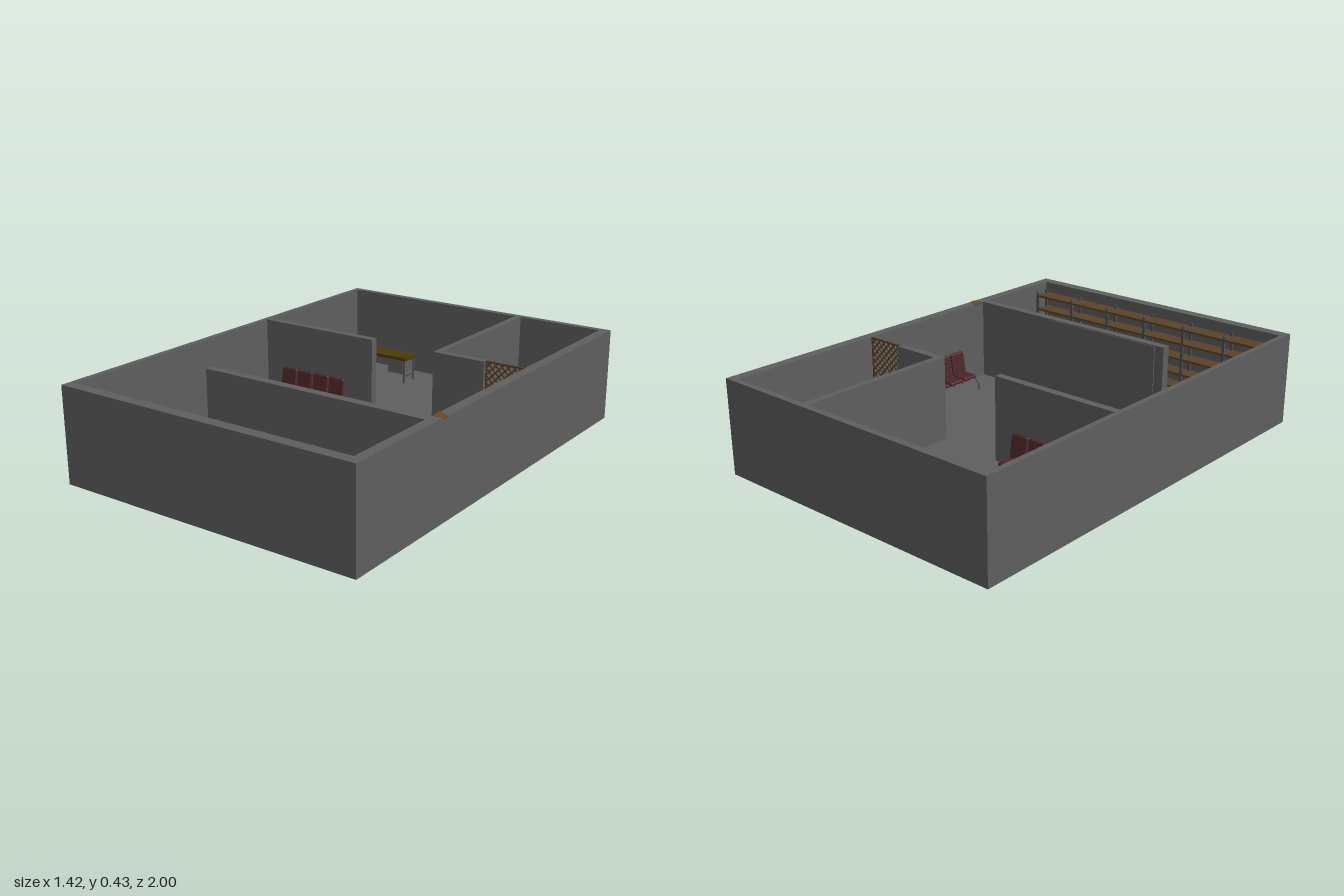
import * as THREE from 'three';
import { RoundedBoxGeometry } from 'three/addons/geometries/RoundedBoxGeometry.js';

const FLOOR = 0.05, TOP = 0.424;

const paint = (name, color) => {
  const m = new THREE.MeshStandardMaterial({ color });
  m.name = name;
  return m;
};

export function createModel() {
  const wallGrey = paint('wallGrey', 0x5e5e5e);
  const metal = paint('metal', 0x4c4f52);
  const seatRed = paint('seatRed', 0x4c2426);
  const deskOlive = paint('deskOlive', 0x4a3a0c);
  const shelfBrown = paint('shelfBrown', 0x5a4428);
  const gateBrown = paint('gateBrown', 0x5a4020);
  const doorOrange = paint('doorOrange', 0x6e4a20);

  const model = new THREE.Group();
  model.name = 'waitingRoom';

  const add = (parent, name, geometry, material, x = 0, y = 0, z = 0) => {
    const mesh = new THREE.Mesh(geometry, material);
    mesh.name = name;
    mesh.position.set(x, y, z);
    parent.add(mesh);
    return mesh;
  };
  // Box given by its two extreme corners
  const box = (parent, name, mat, x0, x1, y0, y1, z0, z1) =>
    add(parent, name, new THREE.BoxGeometry(x1 - x0, y1 - y0, z1 - z0), mat,
      (x0 + x1) / 2, (y0 + y1) / 2, (z0 + z1) / 2);
  const group = (name, x = 0, y = 0, z = 0, turn = 0) => {
    const g = new THREE.Group();
    g.name = name;
    g.position.set(x, y, z);
    g.rotation.y = turn;
    model.add(g);
    return g;
  };
  const rect = (C, x0, x1, z0, z1) => new C([[x0, z0], [x1, z0], [x1, z1], [x0, z1]]
    .map(([x, z]) => new THREE.Vector2(x, z)));
  // Plan outline with one opening, extruded downwards from the given height
  const slab = (name, opening, top, depth) => {
    const plan = rect(THREE.Shape, -0.712, 0.712, -1, 1);
    plan.holes.push(rect(THREE.Path, ...opening));
    const g = new THREE.ExtrudeGeometry(plan, { depth, bevelEnabled: false });
    g.rotateX(Math.PI / 2);
    add(model, name, g, wallGrey, 0, top, 0);
  };

  // Building shell
  slab('floor', [0.34, 0.59, -0.91, -0.655], FLOOR, FLOOR);
  slab('outerWalls', [-0.687, 0.667, -0.97, 0.95], TOP, TOP - FLOOR);
  const wall = (name, x0, x1, z0, z1) => box(model, name, wallGrey, x0, x1, FLOOR, TOP, z0, z1);
  wall('waitingPartition', -0.687, -0.085, -0.27, -0.235);
  wall('storePartition', -0.395, 0.667, 0.47, 0.51);
  wall('cellSideWall', 0.235, 0.265, -0.97, -0.235);
  wall('cellFrontWall', 0.265, 0.485, -0.27, -0.235);
  box(model, 'wallPanel', wallGrey, -0.35, 0.25, FLOOR, TOP - 0.004, 0.465, 0.47);

  // Small wedge of a door set in the right wall
  const wedge = new THREE.Shape([[0.666, 0.405], [0.7125, 0.43], [0.7125, 0.46], [0.666, 0.46]]
    .map(([x, z]) => new THREE.Vector2(x, z)));
  const wedgeGeo = new THREE.ExtrudeGeometry(wedge, { depth: 0.008, bevelEnabled: false });
  add(model, 'doorHead', wedgeGeo.rotateX(Math.PI / 2), doorOrange, 0, TOP + 0.001, 0);

  // Lattice gate of the small room
  const gate = group('latticeGate', 0.576, FLOOR, -0.254);
  const gateW = 0.18, gateH = TOP - FLOOR, cols = 6, rows = 12;
  for (const x of [-1, 1]) {
    box(gate, 'gatePost', gateBrown, x * 0.088 - 0.003, x * 0.088 + 0.003, 0, gateH, -0.004, 0.004);
  }
  for (const y of [0.003, gateH - 0.003]) {
    box(gate, 'gateRail', gateBrown, -0.09, 0.09, y - 0.003, y + 0.003, -0.004, 0.004);
  }
  const cw = gateW / cols, ch = gateH / rows;
  for (let i = 0; i < cols; i++) for (let j = 0; j < rows; j++) for (const s of [-1, 1]) {
    const slat = add(gate, 'gateSlat', new THREE.BoxGeometry(Math.hypot(cw, ch), 0.006, 0.003),
      gateBrown, -gateW / 2 + (i + 0.5) * cw, (j + 0.5) * ch, s * 0.0015);
    slat.rotation.z = s * Math.atan2(ch, cw);
  }

  // Row of four seats on a beam, facing local +z
  const seatGeo = new RoundedBoxGeometry(0.082, 0.016, 0.076, 3, 0.007);
  const backGeo = new RoundedBoxGeometry(0.082, 0.105, 0.014, 3, 0.006);
  const bp = backGeo.attributes.position;
  for (let i = 0; i < bp.count; i++) { // backs curve away towards the top
    const t = bp.getY(i) / 0.0525;
    bp.setZ(i, bp.getZ(i) - 0.009 * t - 0.004 * t * t);
  }
  backGeo.computeVertexNormals();
  const legGeo = new THREE.TubeGeometry(new THREE.CatmullRomCurve3([
    [0, 0, 0.058], [0, 0.03, 0.052], [0, 0.05, 0.03], [0, 0.053, 0],
    [0, 0.05, -0.025], [0, 0.03, -0.046], [0, 0, -0.052],
  ].map(p => new THREE.Vector3(...p))), 20, 0.004, 8);
  const footGeo = new THREE.CylinderGeometry(0.007, 0.008, 0.005, 10);
  const seatRow = (x, z, turn) => {
    const row = group('seatRow', x, FLOOR, z, turn);
    for (let i = 0; i < 4; i++) {
      const sx = (i - 1.5) * 0.09;
      add(row, 'seat', seatGeo, seatRed, sx, 0.066, 0.013);
      add(row, 'seatBack', backGeo, seatRed, sx, 0.121, -0.031);
      box(row, 'seatBracket', metal, sx - 0.01, sx + 0.01, 0.045, 0.06, -0.03, 0.03);
    }
    box(row, 'beam', metal, -0.185, 0.185, 0.04, 0.052, -0.008, 0.008);
    for (const s of [-1, 1]) {
      add(row, 'legFrame', legGeo, metal, s * 0.185, 0, 0);
      for (const fz of [0.058, -0.052]) add(row, 'foot', footGeo, metal, s * 0.185, 0.0025, fz);
    }
  };
  seatRow(-0.39, -0.16, 0);
  seatRow(-0.39, -0.35, Math.PI);
  seatRow(0.603, 0.12, -Math.PI / 2);

  // Desks with a drawer block at one end
  const deskLeg = new THREE.CylinderGeometry(0.005, 0.005, 0.12, 8);
  const desk = (x, z, turn) => {
    const d = group('desk', x, FLOOR, z, turn);
    box(d, 'deskTop', deskOlive, -0.16, 0.16, 0.118, 0.132, -0.056, 0.056);
    box(d, 'drawerBlock', wallGrey, 0.05, 0.135, 0.045, 0.118, -0.045, 0.045);
    box(d, 'backRail', metal, -0.14, 0.14, 0.098, 0.118, -0.044, -0.038);
    for (const sx of [-1, 1]) {
      for (const sz of [-1, 1]) {
        add(d, 'deskLeg', deskLeg, metal, sx * 0.143, 0.06, sz * 0.042);
        add(d, 'deskFoot', footGeo, metal, sx * 0.143, 0.0025, sz * 0.042);
      }
      box(d, 'sideRail', metal, sx * 0.143 - 0.004, sx * 0.143 + 0.004, 0.03, 0.038, -0.042, 0.042);
    }
  };
  desk(-0.4, -0.805, 0);
  desk(0.038, -0.805, Math.PI / 2);

  // Shelving along the front wall: seven uprights, six bays
  const shelving = group('shelving');
  const levels = [0.085, 0.155, 0.23, 0.305, 0.375];
  const pitch = 1.33 / 6;
  for (let i = 0; i <= 6; i++) {
    const x = -0.672 + i * pitch;
    for (const z of [0.868, 0.936]) {
      box(shelving, 'upright', metal, x - 0.006, x + 0.006, FLOOR, 0.388, z, z + 0.01);
    }
    for (const y of levels) {
      box(shelving, 'crossBar', metal, x - 0.005, x + 0.005, y - 0.018, y - 0.002, 0.87, 0.944);
      if (i < 6) box(shelving, 'shelf', shelfBrown, x + 0.006, x + pitch - 0.006, y - 0.01, y, 0.868, 0.946);
    }
  }
  return model;
}
